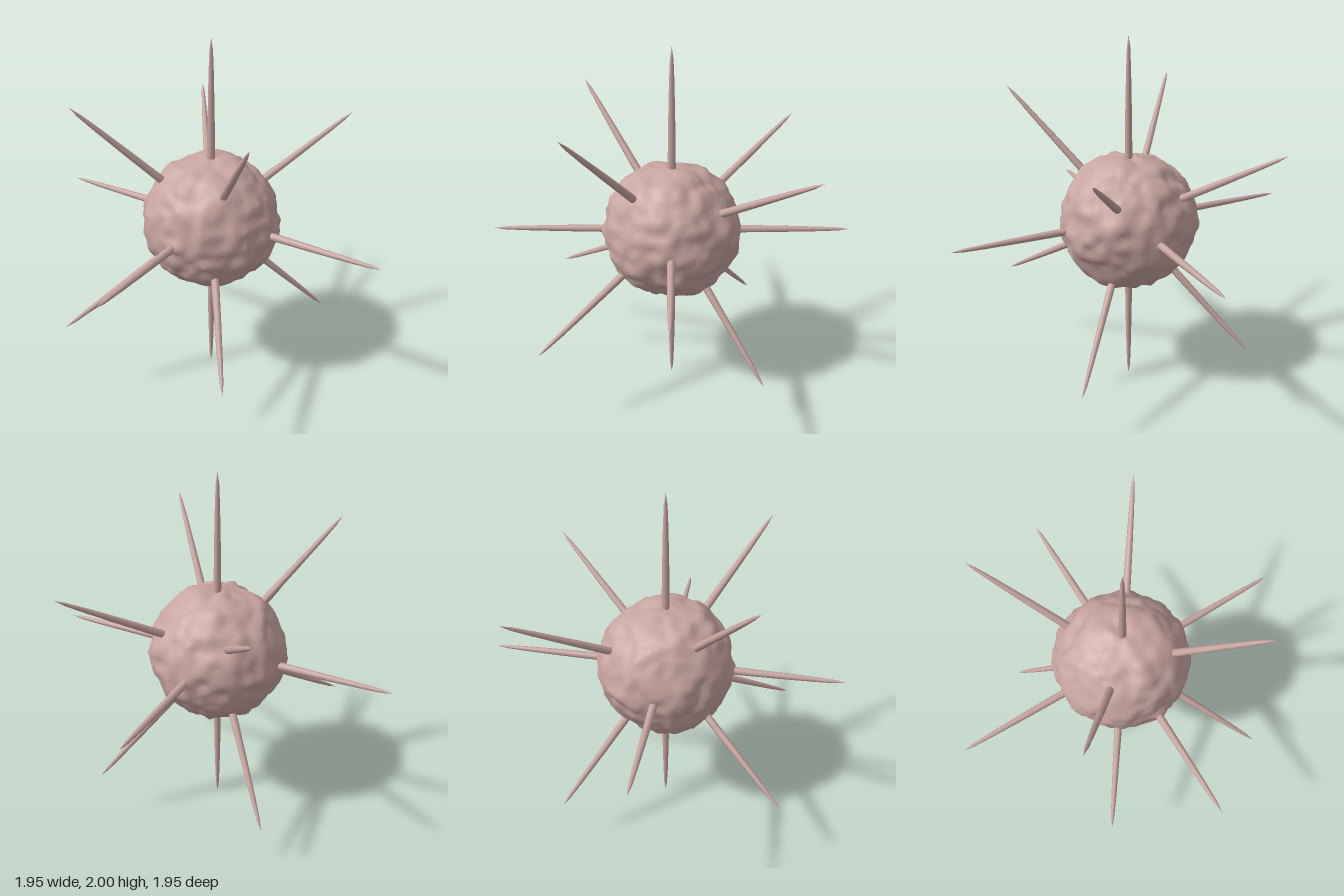
import * as THREE from 'three';
import { mergeVertices } from 'three/addons/utils/BufferGeometryUtils.js';

const CENTER_Y = 1.007;

// Repeatable lattice value in -1..1
function hash(x, y, z) {
  const s = Math.sin(x * 127.1 + y * 311.7 + z * 74.7) * 43758.5453;
  return (s - Math.floor(s)) * 2 - 1;
}

// Smooth value noise
function noise(x, y, z) {
  const ix = Math.floor(x), iy = Math.floor(y), iz = Math.floor(z);
  const ease = (t) => t * t * (3 - 2 * t);
  const u = ease(x - ix), v = ease(y - iy), w = ease(z - iz);
  let sum = 0;
  for (let i = 0; i < 2; i++)
    for (let j = 0; j < 2; j++)
      for (let k = 0; k < 2; k++)
        sum += (i ? u : 1 - u) * (j ? v : 1 - v) * (k ? w : 1 - w) * hash(ix + i, iy + j, iz + k);
  return sum;
}

// Lumpy ball: a welded icosphere pushed in and out by noise
function lumpyBall() {
  let geo = new THREE.IcosahedronGeometry(1, 16);
  geo.deleteAttribute('normal');
  geo.deleteAttribute('uv');
  geo = mergeVertices(geo, 1e-4);
  const pos = geo.attributes.position;
  const p = new THREE.Vector3();
  for (let i = 0; i < pos.count; i++) {
    p.fromBufferAttribute(pos, i).normalize();
    const coarse = noise(p.x * 4 + 11, p.y * 4 + 5, p.z * 4 + 8);
    const fine = noise(p.x * 8 + 3, p.y * 8 + 17, p.z * 8 + 9);
    p.multiplyScalar(0.372 + 0.016 * coarse + 0.014 * fine);
    pos.setXYZ(i, p.x, p.y, p.z);
  }
  geo.computeVertexNormals();
  return geo;
}

export function createModel() {
  const model = new THREE.Group();
  model.name = 'spikyBall';
  const skin = new THREE.MeshStandardMaterial({ color: 0xc8a5a0 });
  skin.name = 'dusty pink';

  const body = new THREE.Mesh(lumpyBall(), skin);
  body.name = 'body';
  body.position.y = CENTER_Y;
  model.add(body);

  // Slim spike: slow taper, then a short pinched tip
  const profile = [
    [0.022, 0.3], [0.021, 0.42], [0.018, 0.62], [0.0135, 0.82], [0.009, 0.93], [0, 0.99],
  ].map(([r, y]) => new THREE.Vector2(r, y));
  const spikeGeo = new THREE.LatheGeometry(profile, 8);

  // Six spikes on the axes and eight in mirrored diagonal pairs
  const directions = [
    [0, 1, 0], [0, -1, 0], [1, 0, 0], [-1, 0, 0], [0, 0, 1], [0, 0, -1],
  ];
  for (const side of [1, -1])
    for (const [y, z] of [[0.7, 0.5], [0.5, -0.7], [-0.5, 0.7], [-0.7, -0.5]])
      directions.push([side * 0.5, y, z]);

  const up = new THREE.Vector3(0, 1, 0);
  directions.forEach((d, i) => {
    const spike = new THREE.Mesh(spikeGeo, skin);
    spike.name = `spike${i + 1}`;
    spike.position.y = CENTER_Y;
    spike.quaternion.setFromUnitVectors(up, new THREE.Vector3(...d).normalize());
    // Vertical spikes end exactly at the top and the ground
    if (i === 0) spike.scale.y = (2 - CENTER_Y) / 0.99;
    else if (i === 1) spike.scale.y = CENTER_Y / 0.99;
    else if (i < 6) spike.scale.y = 0.985;
    model.add(spike);
  });

  return model;
}
